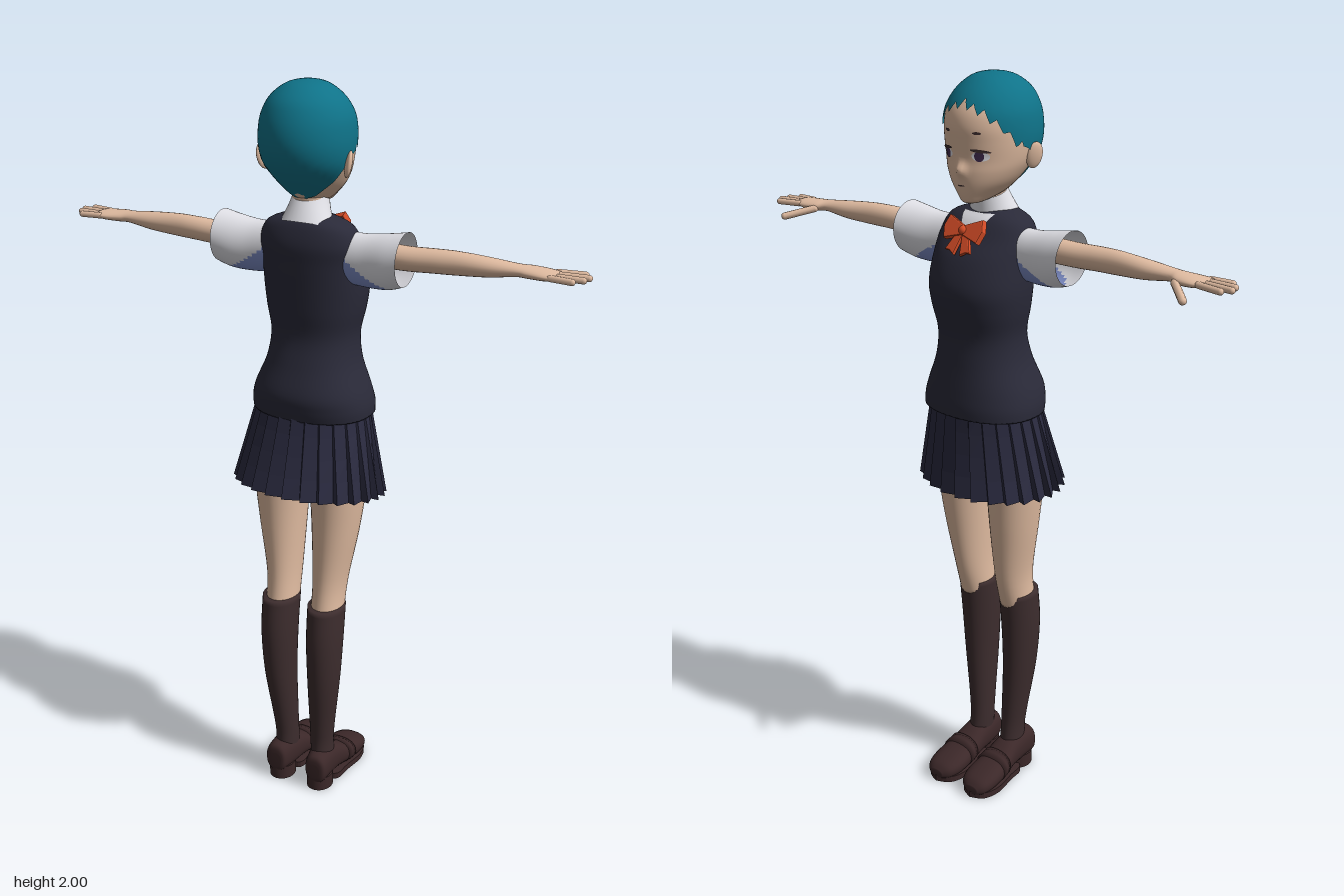
import * as THREE from 'three';
import { mergeVertices } from 'three/addons/utils/BufferGeometryUtils.js';

const mat = (name, color, side = THREE.FrontSide) =>
  Object.assign(new THREE.MeshStandardMaterial({ color, side }), { name });

// Each section is [t, aMin, aMax, bMin, bMax]; smooth them into many
function smooth(rows, sub = 5) {
  const out = [], n = rows.length, pick = i => rows[Math.max(0, Math.min(n - 1, i))];
  for (let i = 0; i < n - 1; i++) for (let k = 0; k < sub; k++) {
    const u = k / sub, [p, q, r, s] = [pick(i - 1), pick(i), pick(i + 1), pick(i + 2)];
    out.push(q.map((v, c) => v + 0.5 * u * (r[c] - p[c] + u * (2 * p[c] - 5 * v + 4 * r[c] - s[c]
      + u * (3 * (v - r[c]) + s[c] - p[c])))));
  }
  out.push(rows[n - 1]);
  return out;
}

function sectionAt(dense, t) {
  for (let i = 0; i < dense.length - 1; i++) {
    const [p, q] = [dense[i], dense[i + 1]];
    if ((t - p[0]) * (t - q[0]) <= 0 && p[0] !== q[0])
      return p.map((v, c) => v + (q[c] - v) * (t - p[0]) / (q[0] - p[0]));
  }
  return Math.abs(t - dense[0][0]) < Math.abs(t - dense.at(-1)[0]) ? dense[0] : dense.at(-1);
}

function build(pos, index) {
  const g = new THREE.BufferGeometry();
  g.setAttribute('position', new THREE.Float32BufferAttribute(pos, 3));
  g.setIndex(index);
  g.computeVertexNormals();
  return g;
}

function flip(g) {
  const a = g.index.array;
  for (let i = 0; i < a.length; i += 3) [a[i + 1], a[i + 2]] = [a[i + 2], a[i + 1]];
  return g;
}

const pw = (v, p) => Math.sign(v) * Math.abs(v) ** p;

// Skin a surface over dense sections along one axis
function loft(dense, axis, { seg = 32, cap = true, p = 1 } = {}) {
  const pos = [], idx = [], n = dense.length;
  const put = (t, a, b) => pos.push(...(axis === 'x' ? [t, a, b] : axis === 'y' ? [a, t, b] : [a, b, t]));
  for (const [t, a0, a1, b0, b1] of dense) for (let i = 0; i < seg; i++) {
    const w = i / seg * Math.PI * 2;
    put(t, (a0 + a1) / 2 + (a1 - a0) / 2 * pw(Math.cos(w), p), (b0 + b1) / 2 + (b1 - b0) / 2 * pw(Math.sin(w), p));
  }
  for (let j = 0; j < n - 1; j++) for (let i = 0; i < seg; i++) {
    const a = j * seg + i, b = j * seg + (i + 1) % seg;
    idx.push(a, b, a + seg, b, b + seg, a + seg);
  }
  if (cap) for (const j of [0, n - 1]) {
    const [t, a0, a1, b0, b1] = dense[j], c = pos.length / 3;
    put(t, (a0 + a1) / 2, (b0 + b1) / 2);
    for (let i = 0; i < seg; i++) {
      const a = j * seg + i, b = j * seg + (i + 1) % seg;
      idx.push(...(j ? [c, a, b] : [c, b, a]));
    }
  }
  const g = build(pos, idx);
  if ((axis === 'y') !== (dense[n - 1][0] < dense[0][0])) { flip(g); g.computeVertexNormals(); }
  return g;
}

// Lay a flat geometry on the front of a lofted body
function project(g, dense, lift, p = 1) {
  const P = g.attributes.position;
  for (let i = 0; i < P.count; i++) {
    const [, , w, z0, z1] = sectionAt(dense, P.getY(i));
    const c = Math.min(1, Math.abs(P.getX(i) / w)) ** (1 / p);
    P.setZ(i, (z0 + z1) / 2 - (z1 - z0) / 2 * Math.sqrt(1 - c * c) ** p - lift);
  }
  g.computeVertexNormals();
  return g;
}

const sym = (y, w, zf, zb) => [y, -w, w, zf, zb];

export function createModel() {
  const model = new THREE.Group();
  model.name = 'schoolgirl';
  const D = THREE.DoubleSide;
  const skin = mat('skin', 0xe2bda2), hair = mat('teal hair', 0x0f7389, D), white = mat('white shirt', 0xe4e4ea, D),
    shade = mat('blue underarm', 0x7f8fc9, D), vest = mat('navy vest', 0x2a2a39), skirtM = mat('navy skirt', 0x2b2b40, D),
    sock = mat('brown sock', 0x3d2d2e), shoe = mat('brown shoe', 0x3c2829), red = mat('orange bow', 0xdb4f28), iris = mat('purple iris', 0x3f2a4c);
  const add = (name, g, m) => {
    const mesh = new THREE.Mesh(g, m);
    mesh.name = name;
    model.add(mesh);
  };
  const pair = (name, g, m) => {
    if (!g.index) g = mergeVertices(g);
    add(name + 'Left', g, m);
    add(name + 'Right', flip(g.clone().scale(-1, 1, 1)), m);
  };

  // Head with a small nose
  const skull = smooth([sym(2, 0.002, 0.013, 0.017), sym(1.99, 0.05, -0.035, 0.07), sym(1.96, 0.09, -0.078, 0.115),
    sym(1.92, 0.113, -0.108, 0.138), sym(1.88, 0.12, -0.119, 0.148), sym(1.84, 0.12, -0.117, 0.147),
    sym(1.8, 0.113, -0.114, 0.133), sym(1.77, 0.1, -0.116, 0.108), sym(1.74, 0.08, -0.114, 0.08),
    sym(1.71, 0.05, -0.107, 0.045), sym(1.692, 0.025, -0.096, -0.03), sym(1.688, 0.002, -0.07, -0.065)]);
  const face = skull.map(([y, a, b, c, d]) => [y > 1.88 ? 1.88 + (y - 1.88) * 0.95 : y, a * 0.97, b * 0.97,
    c + (d - c) * 0.015, d - (d - c) * 0.015]);
  const headG = loft(face, 'y', { seg: 72 }), H = headG.attributes.position;
  for (let i = 0; i < H.count; i++) if (H.getZ(i) < -0.05)
    H.setZ(i, H.getZ(i) - 0.014 * Math.exp(-((H.getX(i) / 0.013) ** 2) - ((H.getY(i) - 1.776) / 0.017) ** 2));
  headG.computeVertexNormals();
  add('head', headG, skin);
  add('neck', loft(smooth([sym(1.62, 0.046, -0.035, 0.05), sym(1.68, 0.042, -0.03, 0.048), sym(1.76, 0.044, -0.03, 0.055)]), 'y'), skin);
  pair('ear', new THREE.SphereGeometry(1, 20, 14).scale(0.009, 0.034, 0.022).rotateY(0.45).rotateZ(-0.2).translate(0.118, 1.805, 0.028), skin);

  // Cropped hair: columns running from the crown to a jagged hairline
  const line = [[0, 1.935], [0.5, 1.915], [0.9, 1.88], [1.2, 1.84], [1.5, 1.825], [1.75, 1.8], [2.05, 1.76], [2.5, 1.722], [Math.PI, 1.708]];
  const cols = 144, steps = 22, pos = [], idx = [];
  for (let j = 0; j <= steps; j++) for (let i = 0; i < cols; i++) {
    const w = (i / cols) * Math.PI * 2, a = Math.min(w, Math.PI * 2 - w);
    const tooth = a < 1.35 ? Math.abs((i % 6) - 3) / 3 * 0.02 - 0.01 : 0;
    const y = 2 - (2 - sectionAt(line, a)[1] - tooth) * (j / steps) ** 2;
    const [, , r, z0, z1] = sectionAt(skull, y);
    pos.push(r * Math.sin(w), y, (z0 + z1) / 2 - (z1 - z0) / 2 * Math.cos(w));
    if (j < steps) {
      const p = j * cols + i, q = j * cols + (i + 1) % cols;
      idx.push(p, q, p + cols, q, q + cols, p + cols);
    }
  }
  const hairG = build(pos, idx);
  if (hairG.attributes.normal.getZ(cols * 12) > 0) { flip(hairG); hairG.computeVertexNormals(); }
  add('hair', hairG, hair);

  // Eyes, lashes, brows and mouth as thin plates
  const spot = (x, y, rx, ry, lift, tilt = 0) =>
    project(new THREE.CircleGeometry(1, 20).rotateY(Math.PI).scale(rx, ry, 1).rotateZ(tilt).translate(x, y, 0), face, lift);
  pair('eyeWhite', spot(0.05, 1.812, 0.02, 0.012, 0.0015), white);
  pair('iris', spot(0.048, 1.812, 0.011, 0.013, 0.0025), iris);
  pair('lash', spot(0.051, 1.825, 0.023, 0.004, 0.0035, -0.12), sock);
  pair('brow', spot(0.045, 1.868, 0.01, 0.0035, 0.002), sock);
  add('mouth', spot(0, 1.737, 0.011, 0.002, 0.002), sock);

  // Knitted vest, shirt front and collar
  const body = smooth([sym(1.67, 0.045, -0.03, 0.055), sym(1.645, 0.112, -0.06, 0.072), sym(1.6, 0.135, -0.09, 0.085),
    sym(1.55, 0.136, -0.125, 0.084), sym(1.48, 0.137, -0.15, 0.08), sym(1.42, 0.13, -0.145, 0.076), sym(1.35, 0.117, -0.13, 0.071),
    sym(1.28, 0.125, -0.135, 0.09), sym(1.21, 0.153, -0.145, 0.115), sym(1.17, 0.164, -0.15, 0.114), sym(1.14, 0.165, -0.15, 0.108)]);
  add('vest', loft(body, 'y', { seg: 56, p: 0.88 }), vest);
  const vee = new THREE.PlaneGeometry(2, 1, 12, 12).rotateY(Math.PI), V = vee.attributes.position;
  for (let i = 0; i < V.count; i++) {
    const v = V.getY(i) + 0.5;
    V.setXY(i, V.getX(i) * 0.048 * v, 1.57 + v * 0.09);
  }
  add('shirtFront', project(vee, body, 0.004, 0.88), white);
  add('collar', loft([sym(0.035, 0.047, -0.045, 0.045), sym(0.005, 0.055, -0.053, 0.053), sym(-0.035, 0.072, -0.064, 0.062)], 'y', { cap: false })
    .rotateX(-0.3).translate(0, 1.675, 0.008), white);

  // Bow
  const cloth = (pts, depth) => new THREE.ExtrudeGeometry(new THREE.Shape(pts.map(q => new THREE.Vector2(...q))),
    { depth, bevelSize: 0.003, bevelThickness: 0.003, bevelSegments: 2 }).translate(0, 0, -depth / 2);
  const hang = g => g.rotateX(0.5).translate(0, 1.622, -0.1);
  pair('bowLoop', hang(cloth([[0, -0.009], [0.05, -0.024], [0.058, 0.004], [0.05, 0.03], [0, 0.009]], 0.014)), red);
  pair('bowTail', hang(cloth([[0, 0], [0.012, -0.06], [0.024, -0.052], [0.036, -0.052], [0.012, 0]], 0.006)), red);
  add('bowKnot', hang(new THREE.SphereGeometry(0.013, 16, 12).translate(0, 0, -0.004)), red);

  // Pleated skirt with knife folds
  const pleats = 26, levels = 4, sp = [], si = [];
  for (let j = 0; j <= levels; j++) for (let i = 0; i < pleats * 2; i++) {
    const u = j / levels, w = (Math.floor(i / 2) + (i % 2 ? 0.93 : 0)) / pleats * Math.PI * 2;
    const r = 1 - (i % 2) * (0.02 + 0.08 * u), z0 = -0.14 - 0.01 * u, z1 = 0.106 + 0.062 * u;
    const z = (z0 + z1) / 2 + (z1 - z0) / 2 * r * Math.cos(w);
    sp.push((0.158 + 0.06 * u) * r * Math.sin(w), 1.16 - 0.235 * u + 0.09 * z * u, z);
    if (j < levels) {
      const n = pleats * 2, p = j * n + i, q = j * n + (i + 1) % n;
      si.push(p, p + n, q, q, p + n, q + n);
    }
  }
  const skirtG = build(sp, si).toNonIndexed();
  skirtG.computeVertexNormals();
  add('skirt', skirtG, skirtM);

  // Puffed sleeves; faces under the arm take the blue
  const sleeve = loft(smooth([[0.1, 1.5, 1.63, -0.052, 0.045], [0.16, 1.494, 1.63, -0.058, 0.048],
    [0.22, 1.496, 1.638, -0.068, 0.058], [0.262, 1.508, 1.645, -0.075, 0.062]]), 'x', { cap: false, seg: 48 });
  const S = sleeve.attributes.position, top = [], under = [], sI = sleeve.index.array;
  for (let i = 0; i < sI.length; i += 3) {
    const tri = [...sI.slice(i, i + 3)], mean = f => tri.reduce((s, k) => s + S[f](k), 0) / 3;
    (mean('getY') < 1.56 - (mean('getX') - 0.13) * 0.6 ? under : top).push(...tri);
  }
  sleeve.setIndex([...top, ...under]);
  sleeve.addGroup(0, top.length, 0);
  sleeve.addGroup(top.length, under.length, 1);
  pair('sleeve', sleeve, [white, shade]);

  // Arms, hands and fingers
  pair('arm', loft(smooth([[0.13, 1.555, 1.62, -0.03, 0.036], [0.26, 1.553, 1.615, -0.03, 0.038], [0.34, 1.556, 1.617, -0.03, 0.033],
    [0.4, 1.558, 1.617, -0.032, 0.027], [0.48, 1.563, 1.611, -0.038, 0.022], [0.55, 1.573, 1.604, -0.037, 0.014],
    [0.58, 1.572, 1.602, -0.05, 0.016], [0.62, 1.573, 1.599, -0.053, 0.021], [0.65, 1.577, 1.596, -0.045, 0.02]]), 'x', { seg: 24 }), skin);
  const finger = (from, to, r) => {
    const a = new THREE.Vector3(...from), d = new THREE.Vector3(...to).sub(a);
    return new THREE.CapsuleGeometry(r, d.length() - r, 4, 10).scale(1, 1, 1)
      .applyQuaternion(new THREE.Quaternion().setFromUnitVectors(new THREE.Vector3(0, 1, 0), d.clone().normalize()))
      .translate(...a.addScaledVector(d, 0.5));
  };
  pair('thumb', finger([0.575, 1.583, -0.042], [0.64, 1.562, -0.107], 0.01), skin);
  [[-0.042, 0.708, -0.056], [-0.023, 0.724, -0.032], [-0.004, 0.718, -0.007], [0.013, 0.698, 0.018]].forEach(([z, x1, z1], i) =>
    pair('finger' + (i + 1), finger([0.635, 1.587, z], [x1, 1.586, z1], 0.0085), skin));

  // Legs and knee socks
  pair('leg', loft(smooth([[1, 0.002, 0.16, -0.09, 0.09], [0.92, 0.01, 0.158, -0.08, 0.086], [0.8, 0.018, 0.142, -0.068, 0.083],
    [0.65, 0.026, 0.116, -0.045, 0.083], [0.55, 0.026, 0.114, -0.018, 0.095]]), 'y'), skin);
  pair('sock', loft(smooth([[0.585, 0.02, 0.121, -0.022, 0.103], [0.48, 0.022, 0.12, -0.011, 0.115], [0.35, 0.025, 0.112, -0.003, 0.108],
    [0.2, 0.025, 0.094, 0, 0.085], [0.13, 0.025, 0.088, -0.002, 0.077], [0.06, 0.027, 0.09, -0.01, 0.08]]), 'y'), sock);

  // Loafers with strap, sole and heel
  const upper = smooth([[0.103, 0.045, 0.08, 0.04, 0.085], [0.095, 0.032, 0.095, 0.024, 0.11], [0.05, 0.022, 0.098, 0.02, 0.118],
    [0, 0.019, 0.1, 0.018, 0.106], [-0.05, 0.014, 0.108, 0.012, 0.082], [-0.11, 0.011, 0.112, 0.006, 0.066],
    [-0.15, 0.022, 0.104, 0.006, 0.052], [-0.168, 0.045, 0.085, 0.012, 0.035]]);
  pair('shoe', loft(upper, 'z', { p: 0.85 }), shoe);
  pair('strap', loft([-0.04, -0.055, -0.07].map(z => sectionAt(upper, z)).map(([z, a, b, c, d]) => [z, a - 0.003, b + 0.003, c, d + 0.005]),
    'z', { p: 0.85 }), shoe);
  const outline = new THREE.Shape().setFromPoints(new THREE.SplineCurve([[0.063, 0.17], [0.1, 0.15], [0.114, 0.1], [0.104, 0.03],
    [0.098, -0.02], [0.063, -0.03], [0.022, -0.02], [0.018, 0.03], [0.009, 0.1], [0.025, 0.15], [0.063, 0.17]]
    .map(q => new THREE.Vector2(...q))).getPoints(40));
  pair('sole', new THREE.ExtrudeGeometry(outline, { depth: 0.018, bevelEnabled: false }).rotateX(-Math.PI / 2), shoe);
  pair('heel', new THREE.CylinderGeometry(1, 1, 0.04, 28).scale(0.037, 1, 0.042).translate(0.061, 0.02, 0.06), shoe);
  return model;
}
